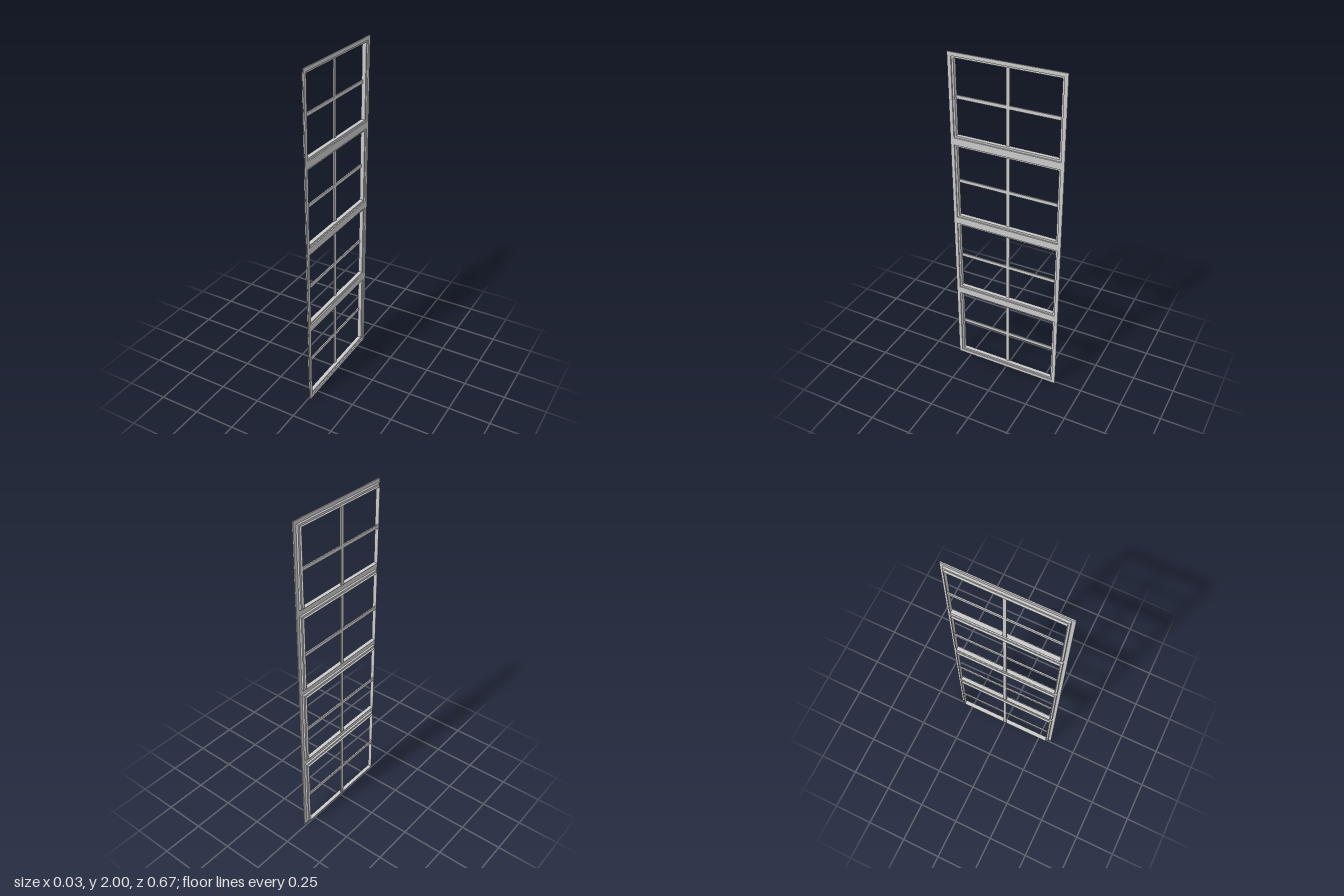
import * as THREE from 'three';

const PANELS = 4, PITCH = 0.5;
const material = new THREE.MeshStandardMaterial({ color: 0xcccccc });

// Closed rectangle around (0, cy) given half sizes
function rect(Type, cy, hw, hh) {
  return new Type([[-hw, -hh], [hw, -hh], [hw, hh], [-hw, hh]].map(([x, y]) => new THREE.Vector2(x, cy + y)));
}

// Plate standing in the YZ plane, filling x0..x1
function plate(name, shape, x0, x1) {
  const geo = new THREE.ExtrudeGeometry(shape, { depth: x1 - x0, bevelEnabled: false });
  geo.rotateY(-Math.PI / 2).translate(x1, 0, 0);
  const mesh = new THREE.Mesh(geo, material);
  mesh.name = name;
  return mesh;
}

// Rectangular ring with outer and inner half sizes
function ring(name, cy, outer, inner, x0, x1) {
  const shape = rect(THREE.Shape, cy, ...outer);
  shape.holes.push(rect(THREE.Path, cy, ...inner));
  return plate(name, shape, x0, x1);
}

function bar(name, x0, x1, y, h, w) {
  const mesh = new THREE.Mesh(new THREE.BoxGeometry(x1 - x0, h, w), material);
  mesh.position.set((x0 + x1) / 2, y, 0);
  mesh.name = name;
  return mesh;
}

export function createModel() {
  const model = new THREE.Group();
  model.name = 'windowFrame';

  // Flat outer flange with one opening per panel
  const flange = rect(THREE.Shape, 1, 0.333, 1);
  for (let i = 0; i < PANELS; i++) {
    flange.holes.push(rect(THREE.Path, (i + 0.5) * PITCH, 0.312, 0.229));
  }
  model.add(plate('outerFlange', flange, 0.008, 0.015));

  // Stepped sash and crossed glazing bars for each panel
  for (let i = 0; i < PANELS; i++) {
    const cy = (i + 0.5) * PITCH;
    const panel = new THREE.Group();
    panel.name = 'panel' + (i + 1);
    panel.add(
      ring('middleStep', cy, [0.314, 0.231], [0.301, 0.218], -0.0045, 0.008),
      ring('innerStep', cy, [0.303, 0.22], [0.301, 0.218], -0.016, -0.0045),
      bar('verticalGlazingBar', -0.016, -0.008, cy, 0.436, 0.02),
      bar('horizontalGlazingBar', -0.0158, -0.0082, cy, 0.02, 0.602)
    );
    model.add(panel);
  }
  return model;
}
